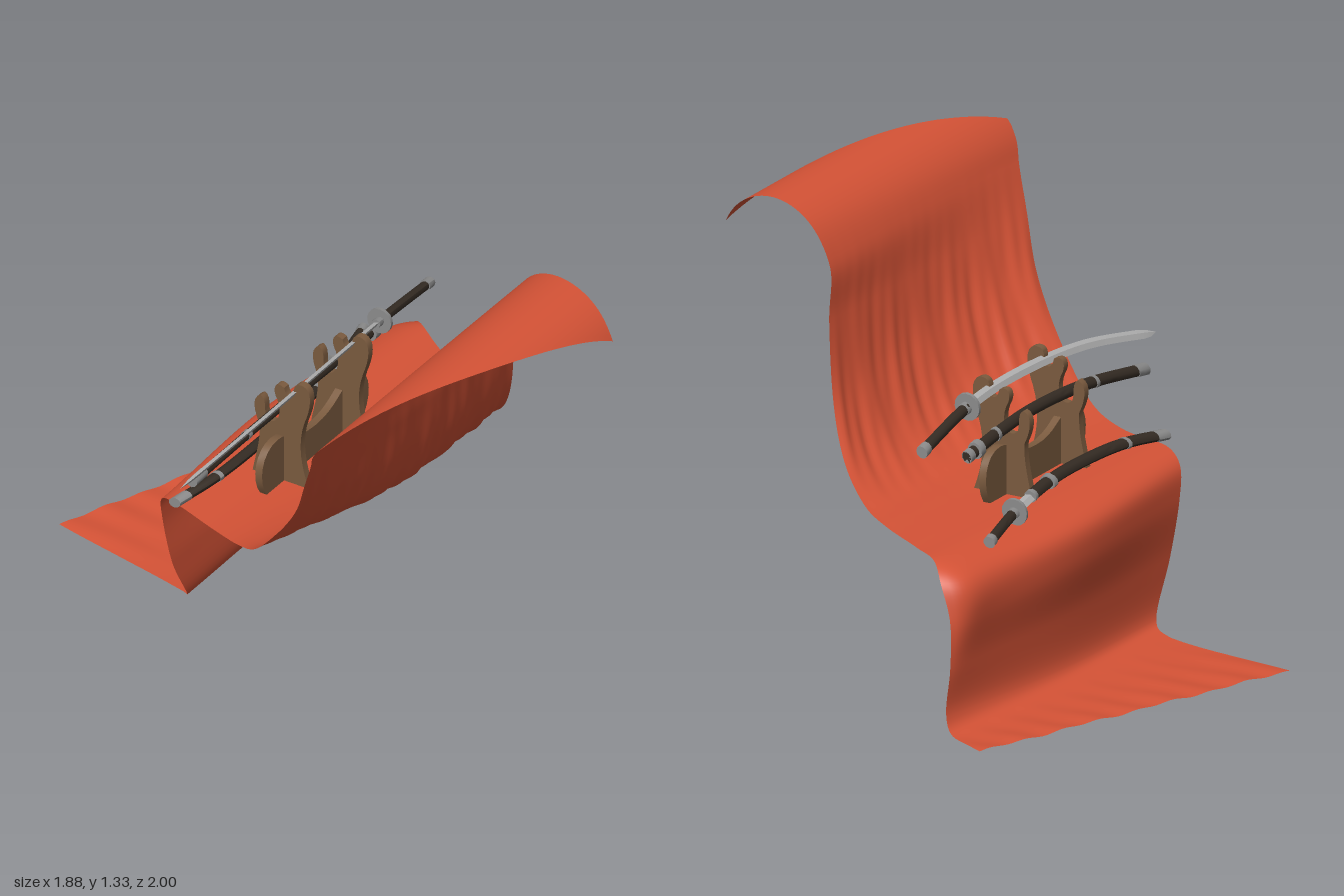
import * as THREE from 'three';
import { toCreasedNormals } from 'three/addons/utils/BufferGeometryUtils.js';

const mat = (name, color, extra = {}) => new THREE.MeshStandardMaterial({ name, color, ...extra });
const red = mat('red cloth', 0xd65336, { side: THREE.DoubleSide });
const brown = mat('brown wood', 0x7b5b3f);
const dark = mat('dark lacquer', 0x352c24);
const grey = mat('grey fittings', 0x8c8c8c);
const steel = mat('blade steel', 0xb2b2b2);

const V = (x, y, z) => new THREE.Vector3(x, y, z);
const spline = (n) => {
  const pts = [];
  for (let i = 0; i < n.length; i += 3) pts.push(V(n[i], n[i + 1], n[i + 2]));
  return new THREE.CatmullRomCurve3(pts);
};

function add(group, name, geometry, material) {
  const mesh = new THREE.Mesh(geometry, material);
  mesh.name = name;
  group.add(mesh);
  return mesh;
}

function surface(pos, rows, cols) {
  const index = [];
  for (let i = 0; i < rows - 1; i++) {
    for (let j = 0; j < cols - 1; j++) {
      const a = i * cols + j, b = a + cols;
      index.push(a, a + 1, b, a + 1, b + 1, b);
    }
  }
  const g = new THREE.BufferGeometry();
  g.setAttribute('position', new THREE.Float32BufferAttribute(pos, 3));
  g.setIndex(index);
  g.computeVertexNormals();
  return g;
}

// Cloth: back edge, centre line and front edge, lofted across with soft folds
const backEdge = spline([
  -0.5, 0.01, -1, -0.34, 0.012, -0.905, -0.31, 0.06, -0.88, -0.31, 0.2, -0.855, -0.3, 0.35, -0.84,
  -0.26, 0.46, -0.828, -0.21, 0.508, -0.78, -0.1, 0.51, -0.7, 0.08, 0.51, -0.58, 0.22, 0.52, -0.47,
  0.34, 0.6, -0.38, 0.43, 0.75, -0.3, 0.49, 1, -0.23, 0.51, 1.16, -0.19, 0.6, 1.28, -0.17,
  0.74, 1.33, -0.14, 0.86, 1.29, -0.115, 0.94, 1.21, -0.09]);
const centreLine = spline([
  -0.72, 0.01, -0.43, -0.41, 0.008, -0.33, -0.37, 0.04, -0.3, -0.365, 0.2, -0.26, -0.39, 0.38, -0.23,
  -0.37, 0.47, -0.21, -0.28, 0.51, -0.17, -0.1, 0.51, -0.08, 0.06, 0.51, 0.03, 0.2, 0.525, 0.12,
  0.33, 0.625, 0.2, 0.42, 0.8, 0.26, 0.475, 1, 0.32, 0.51, 1.16, 0.37, 0.57, 1.26, 0.41,
  0.64, 1.31, 0.44, 0.72, 1.33, 0.455, 0.79, 1.32, 0.46]);
const frontEdge = spline([
  -0.94, 0.01, 0.13, -0.42, 0.006, 0.24, -0.375, 0.03, 0.28, -0.365, 0.2, 0.38, -0.375, 0.38, 0.42,
  -0.36, 0.47, 0.45, -0.3, 0.508, 0.49, -0.1, 0.51, 0.56, 0.03, 0.53, 0.62, 0.13, 0.58, 0.68,
  0.25, 0.71, 0.74, 0.36, 0.87, 0.81, 0.44, 1.02, 0.885, 0.505, 1.15, 0.945, 0.53, 1.205, 0.975,
  0.55, 1.237, 0.988, 0.565, 1.256, 0.996, 0.58, 1.27, 1]);

function clothGeometry() {
  const rows = 137, cols = 91, pos = [];
  for (let i = 0; i < rows; i++) {
    const t = i / (rows - 1), s = t * 17;
    const across = new THREE.CatmullRomCurve3([backEdge, centreLine, frontEdge].map((c) => c.getPoint(t)));
    const rise = Math.exp(-(((s - 10.6) / 1.4) ** 2));
    const floor = Math.max(0, 1 - s);
    const overhang = 0.08 * Math.exp(-(((s - 4.8) / 1.2) ** 2));
    const arch = THREE.MathUtils.smoothstep(s, 13, 14);
    for (let j = 0; j < cols; j++) {
      const v = j / (cols - 1), p = across.getPoint(v);
      // The top rolls over as one round arch
      const dx = p.x - 0.735;
      const archY = 1.1 + Math.sqrt(Math.max(0, 0.0529 - dx * dx));
      p.y += (archY - p.y) * arch;
      // Ledge overhangs close to the back edge
      p.x -= overhang * (1 - Math.exp(-v * 25)) * Math.exp(-v * 5);
      const fold = Math.sin(v * 41 + s * 0.9) + 0.8 * Math.sin(v * 97 - s * 0.8 + 1) * Math.sin(v * 9 + s);
      p.x += 0.003 * rise * fold;
      const ripple = Math.sin(v * 53 + s * 4) + 0.7 * Math.sin(v * 24 - s * 7);
      p.y = Math.max(0, p.y - 0.002 * rise * fold + 0.0028 * floor * ripple);
      pos.push(p.x, p.y, p.z);
    }
  }
  return surface(pos, rows, cols);
}

// Capped elliptical rod along part of a curve: w along the bow, t across it
function rod(curve, u0, u1, bow, w, t, sides = 10, taper = 0) {
  const n = V(0, 0, 1).cross(bow), pos = [], steps = Math.max(1, Math.ceil((u1 - u0) * 36));
  for (let i = -1; i <= steps + 1; i++) {
    const k = Math.min(Math.max(i / steps, 0), 1);
    const p = curve.getPointAt(u0 + (u1 - u0) * k);
    let r = i < 0 || i > steps ? 0 : 1;
    if (taper && k > 1 - taper) r *= Math.max(0.05, Math.sqrt((1 - k) / taper));
    for (let j = 0; j <= sides; j++) {
      const a = (j / sides) * Math.PI * 2;
      const q = p.clone().addScaledVector(bow, Math.cos(a) * w * r).addScaledVector(n, Math.sin(a) * t * r);
      pos.push(q.x, q.y, q.z);
    }
  }
  return toCreasedNormals(surface(pos, steps + 3, sides + 1), 0.7);
}

// Sword: spans are [name, z start, z end, half width, half thickness, material, sides, taper]
function sword(name, points, bowX, bowY, spans) {
  const group = new THREE.Group();
  group.name = name;
  const curve = spline(points), bow = V(bowX, bowY, 0).normalize();
  const zA = points[2], zB = points[points.length - 1];
  const u = (z) => Math.min(1, Math.max(0, (z - zA) / (zB - zA)));
  for (const [part, z0, z1, w, t, m, sides, taper] of spans) {
    add(group, part, rod(curve, u(z0), u(z1), bow, w, t, sides, taper), m);
  }
  return group;
}

function plate(shape, depth) {
  const g = new THREE.ExtrudeGeometry(shape, { depth, bevelEnabled: false, curveSegments: 8 });
  g.translate(0, 0, -depth / 2);
  return toCreasedNormals(g, 0.6);
}

// Stand: two hooked uprights joined by a long board with rounded ends
function stand() {
  const group = new THREE.Group();
  group.name = 'stand';
  const s = new THREE.Shape();
  s.moveTo(-0.18, 0.514);
  s.lineTo(0.025, 0.514);
  s.bezierCurveTo(0.0, 0.58, -0.02, 0.66, 0.01, 0.75);
  s.bezierCurveTo(0.03, 0.8, 0.045, 0.875, 0.0, 0.88);
  s.bezierCurveTo(-0.03, 0.88, -0.03, 0.86, -0.03, 0.835);
  s.bezierCurveTo(-0.04, 0.81, -0.06, 0.82, -0.065, 0.85);
  s.bezierCurveTo(-0.1, 0.87, -0.11, 0.83, -0.09, 0.8);
  s.bezierCurveTo(-0.07, 0.75, -0.09, 0.71, -0.115, 0.715);
  s.bezierCurveTo(-0.15, 0.72, -0.12, 0.78, -0.15, 0.795);
  s.bezierCurveTo(-0.19, 0.78, -0.17, 0.72, -0.155, 0.69);
  s.bezierCurveTo(-0.15, 0.63, -0.17, 0.57, -0.18, 0.514);
  for (const z of [-0.13, 0.2]) add(group, 'upright', plate(s, 0.025), brown).position.z = z;

  const b = new THREE.Shape();
  b.moveTo(-0.24, 0.514);
  b.lineTo(0.31, 0.514);
  b.bezierCurveTo(0.36, 0.58, 0.34, 0.68, 0.25, 0.68);
  b.bezierCurveTo(0.17, 0.68, 0.16, 0.62, 0.035, 0.62);
  b.bezierCurveTo(-0.09, 0.62, -0.1, 0.68, -0.18, 0.68);
  b.bezierCurveTo(-0.27, 0.68, -0.29, 0.58, -0.24, 0.514);
  const board = add(group, 'crossBoard', plate(b, 0.025), brown);
  board.rotation.y = -Math.PI / 2;
  board.position.x = -0.078;
  return group;
}

export function createModel() {
  const model = new THREE.Group();
  model.name = 'swordDisplay';
  add(model, 'cloth', clothGeometry(), red);
  model.add(stand());

  // Drawn sword on the top rests
  model.add(sword('drawnSword', [
    -0.07, 0.79, -0.62, -0.04, 0.835, -0.29, -0.03, 0.845, 0, -0.043, 0.825, 0.4, -0.09, 0.768, 0.76], 0.75, 0.66, [
    ['pommel', -0.62, -0.585, 0.021, 0.018, grey],
    ['grip', -0.59, -0.3, 0.018, 0.015, dark],
    ['collar', -0.32, -0.26, 0.02, 0.015, grey],
    ['guard', -0.296, -0.284, 0.045, 0.042, grey, 16],
    ['blade', -0.27, 0.76, 0.018, 0.007, steel, 4, 0.06]]));

  // Empty scabbard on the middle rests
  model.add(sword('scabbard', [
    -0.118, 0.725, -0.43, -0.105, 0.742, -0.2, -0.1, 0.75, 0, -0.11, 0.74, 0.3, -0.137, 0.7, 0.62], 0.6, 0.8, [
    ['scabbardBody', -0.43, 0.6, 0.019, 0.014, dark],
    ['mouth', -0.435, -0.4, 0.021, 0.016, grey],
    ['knob', -0.375, -0.345, 0.028, 0.024, grey],
    ['ring', -0.24, -0.225, 0.022, 0.017, grey],
    ['band', 0.34, 0.355, 0.021, 0.016, grey],
    ['tip', 0.565, 0.62, 0.021, 0.016, grey]]));

  // Half-sheathed sword lying on the cloth
  model.add(sword('sheathedSword', [
    -0.31, 0.54, -0.62, -0.25, 0.552, -0.36, -0.212, 0.562, -0.1, -0.205, 0.562, 0.1,
    -0.218, 0.552, 0.35, -0.26, 0.535, 0.53], 1, 0.3, [
    ['pommel', -0.62, -0.59, 0.021, 0.018, grey],
    ['grip', -0.6, -0.37, 0.018, 0.015, dark],
    ['collar', -0.39, -0.33, 0.02, 0.016, grey],
    ['guard', -0.366, -0.354, 0.045, 0.042, grey, 16],
    ['blade', -0.35, -0.2, 0.018, 0.007, steel, 4],
    ['mouth', -0.23, -0.21, 0.022, 0.018, grey],
    ['scabbardBody', -0.215, 0.51, 0.021, 0.016, dark],
    ['knob', -0.1, -0.075, 0.028, 0.02, grey],
    ['band', 0.345, 0.36, 0.023, 0.018, grey],
    ['tip', 0.48, 0.53, 0.022, 0.017, grey]]));
  return model;
}
